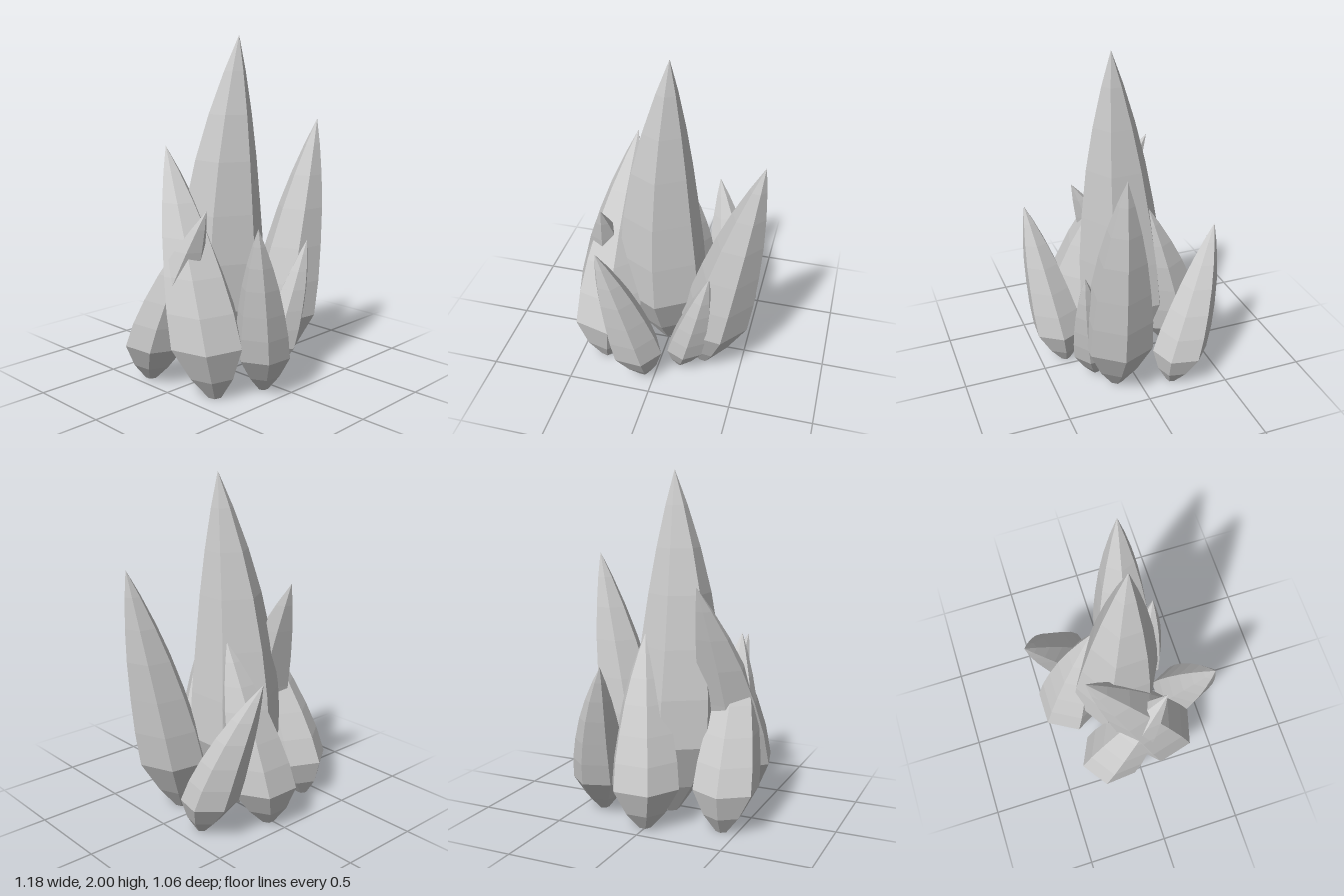
import * as THREE from 'three';

// Shared bulb-to-point profile: [fraction of height, fraction of full radius]
const PROFILE = [
  [0, 0.18], [0.09, 0.6], [0.22, 1], [0.36, 0.95], [0.5, 0.83],
  [0.65, 0.66], [0.78, 0.46], [0.9, 0.23], [1, 0],
];
const SIDES = 6;

// Six-sided crystal leaning from its base to its tip; bow bends the middle sideways
function shardGeometry({ base, tip, radius, turn, bow = [0, 0] }) {
  const rings = PROFILE.map(([t, r]) => {
    const lean = Math.pow(t, 1.15), bend = Math.sin(Math.PI * t);
    const cx = base[0] + (tip[0] - base[0]) * lean + bow[0] * bend;
    const cz = base[1] + (tip[2] - base[1]) * lean + bow[1] * bend;
    return Array.from({ length: SIDES }, (_, i) => {
      const a = THREE.MathUtils.degToRad(turn + (i * 360) / SIDES);
      return [cx + Math.cos(a) * r * radius, t * tip[1], cz + Math.sin(a) * r * radius];
    });
  });
  const positions = [];
  const triangle = (a, b, c) => positions.push(...a, ...b, ...c);
  const last = rings.length - 1;
  for (let i = 0; i < SIDES; i++) {
    const j = (i + 1) % SIDES;
    for (let k = 0; k < last; k++) {
      const low = rings[k], high = rings[k + 1];
      triangle(low[i], high[i], low[j]);
      if (k < last - 1) triangle(high[i], high[j], low[j]);
    }
    // Small flat foot
    triangle([base[0], 0, base[1]], rings[0][i], rings[0][j]);
  }
  const geometry = new THREE.BufferGeometry();
  geometry.setAttribute('position', new THREE.Float32BufferAttribute(positions, 3));
  geometry.computeVertexNormals();
  return geometry;
}

// base is [x, z] on the ground, tip is [x, y, z], turn is in degrees
const SHARDS = {
  centralShard: { base: [-0.01, -0.05], tip: [0.02, 2, 0.06], radius: 0.28, turn: 28, bow: [-0.05, -0.005] },
  leftShard: { base: [0.265, 0.125], tip: [0.58, 1.5, 0.18], radius: 0.212, turn: 8 },
  rightShard: { base: [-0.345, 0.23], tip: [-0.255, 1.37, -0.265], radius: 0.225, turn: 15, bow: [-0.025, 0.04] },
  frontShard: { base: [-0.07, 0.345], tip: [-0.29, 1, 0.505], radius: 0.162, turn: 4 },
  smallFrontShard: { base: [0.13, 0.215], tip: [0.32, 0.81, 0.33], radius: 0.12, turn: 25, bow: [0.01, 0.01] },
  backShard: { base: [0.01, -0.37], tip: [0.12, 1.07, -0.13], radius: 0.212, turn: 0 },
  backLeftShard: { base: [0.37, -0.195], tip: [0.205, 0.94, -0.52], radius: 0.165, turn: 42, bow: [0.025, 0] },
  backRightShard: { base: [-0.41, -0.245], tip: [-0.36, 1.06, 0.185], radius: 0.195, turn: 25, bow: [-0.01, -0.015] },
};

export function createModel() {
  const stone = new THREE.MeshStandardMaterial({ color: 0xcccccc, flatShading: true });
  stone.name = 'paleGreyStone';
  const model = new THREE.Group();
  model.name = 'crystalCluster';
  for (const [name, shard] of Object.entries(SHARDS)) {
    const mesh = new THREE.Mesh(shardGeometry(shard), stone);
    mesh.name = name;
    model.add(mesh);
  }
  return model;
}
